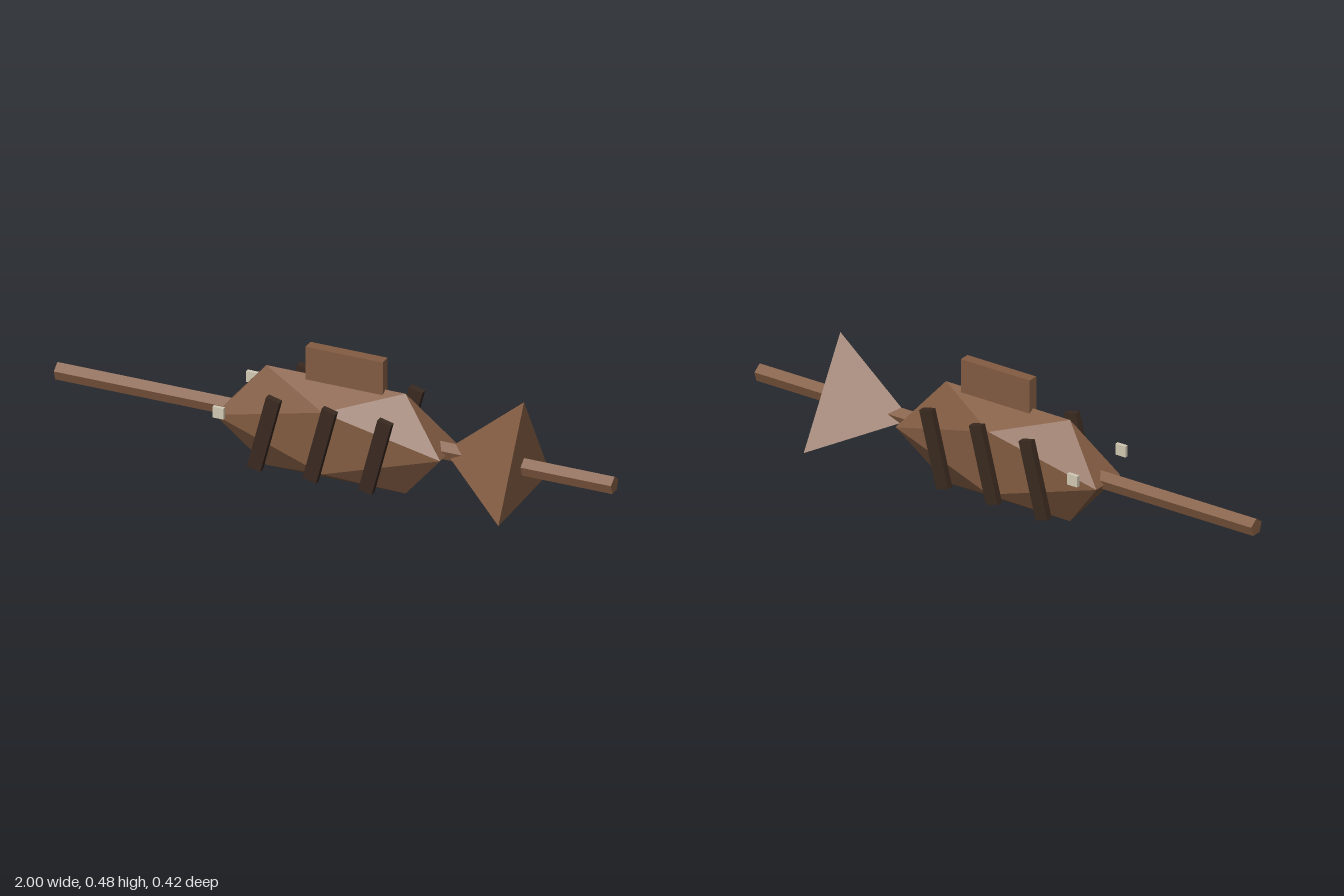
import * as THREE from 'three';

const flat = (name, color) => {
  const m = new THREE.MeshStandardMaterial({ color, flatShading: true });
  m.name = name;
  return m;
};

export function createModel() {
  const group = new THREE.Group();
  group.name = 'skeweredFish';
  const brown = flat('roastedBrown', 0x835c42);
  const dark = flat('charredBrown', 0x3a2a20);
  const pale = flat('paleEye', 0xd2cab4);

  const add = (name, geometry, material, x, y, z) => {
    const mesh = new THREE.Mesh(geometry, material);
    mesh.name = name;
    mesh.position.set(x, y, z);
    group.add(mesh);
    return mesh;
  };
  // Lay an upright geometry along x, its top towards -x and first corner up
  const alongX = (g) => g.rotateY(Math.PI / 2).rotateZ(Math.PI / 2);

  // Faceted body
  add('body', new THREE.IcosahedronGeometry(1, 0).scale(0.475, 0.2175, 0.13), brown, 0, 0.186, 0);

  // Five-sided skewer running the full length
  add('skewer', alongX(new THREE.CylinderGeometry(0.031, 0.031, 2, 5)), brown, 0, 0.192, 0);

  // Three-sided tail and slab back fin
  add('tail', alongX(new THREE.ConeGeometry(0.24, 0.285, 3)), brown, 0.5325, 0.19, 0);
  add('backFin', new THREE.BoxGeometry(0.277, 0.125, 0.038), brown, 0.038, 0.4175, 0);

  // Slanted grill marks and eyes on both sides
  for (const side of [1, -1]) {
    const label = side > 0 ? 'Front' : 'Back';
    [-0.2, 0, 0.2].forEach((x, i) => {
      const mark = add(`grillMark${label}${i + 1}`, new THREE.BoxGeometry(0.05, 0.278, 0.024), dark, x, 0.19, side * 0.128);
      mark.rotation.z = -0.25;
    });
    add(`eye${label}`, new THREE.BoxGeometry(0.04, 0.04, 0.013), pale, -0.36, 0.238, side * 0.137);
  }
  return group;
}
